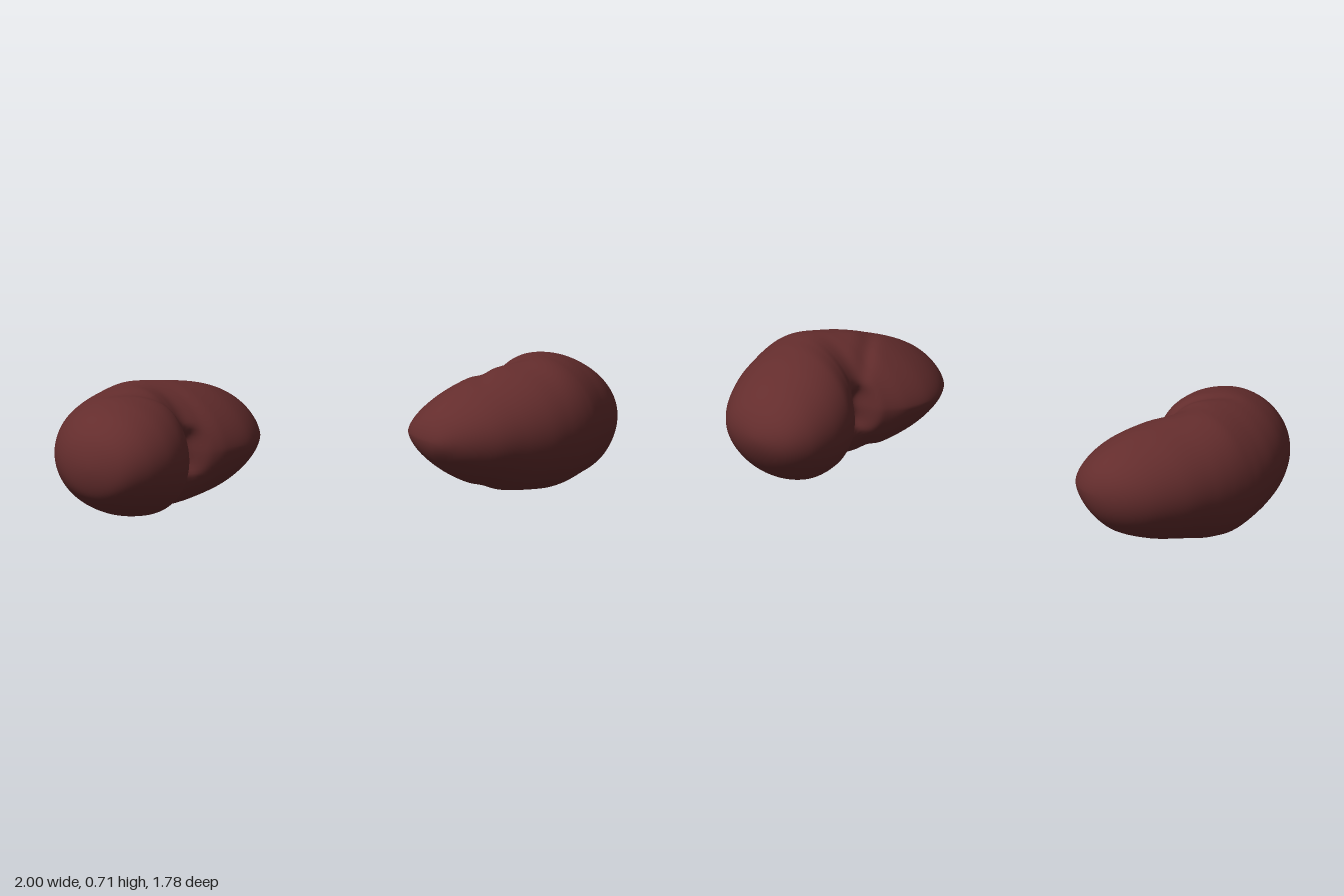
import * as THREE from 'three';
import { mergeVertices } from 'three/addons/utils/BufferGeometryUtils.js';

// Cross-sections along z: [z, outer |x|, inner |x|, top y, bottom y, roundness of the inner side]
const RIGHT_ROWS = [
  [-0.15, 0.62, 0.62, 0.30, 0.30, 1.7],
  [-0.12, 0.74, 0.51, 0.39, 0.20, 1.65],
  [-0.04, 0.84, 0.42, 0.455, 0.115, 1.6],
  [0.09, 0.92, 0.37, 0.505, 0.055, 1.6],
  [0.22, 0.965, 0.395, 0.53, 0.025, 1.7],
  [0.30, 0.985, 0.45, 0.54, 0.01, 1.8],
  [0.36, 0.995, 0.478, 0.545, 0.005, 1.9],
  [0.41, 1.0, 0.46, 0.545, 0.0, 2],
  [0.47, 1.0, 0.405, 0.545, 0.005, 2],
  [0.56, 0.985, 0.365, 0.54, 0.025, 2],
  [0.67, 0.94, 0.355, 0.525, 0.055, 2],
  [0.78, 0.86, 0.39, 0.485, 0.105, 2],
  [0.86, 0.75, 0.47, 0.405, 0.175, 2],
  [0.89, 0.61, 0.61, 0.29, 0.29, 2],
];
const LEFT_ROWS = [
  [-0.89, 0.60, 0.60, 0.43, 0.43, 2],
  [-0.855, 0.76, 0.465, 0.525, 0.33, 2],
  [-0.77, 0.865, 0.39, 0.605, 0.235, 2],
  [-0.65, 0.94, 0.365, 0.665, 0.175, 2],
  [-0.54, 0.975, 0.38, 0.695, 0.165, 2],
  [-0.46, 0.995, 0.425, 0.703, 0.165, 1.95],
  [-0.41, 0.998, 0.458, 0.705, 0.165, 1.85],
  [-0.36, 0.995, 0.46, 0.702, 0.165, 1.75],
  [-0.30, 0.985, 0.415, 0.695, 0.168, 1.65],
  [-0.21, 0.96, 0.36, 0.68, 0.178, 1.55],
  [-0.10, 0.905, 0.34, 0.645, 0.215, 1.5],
  [0.01, 0.83, 0.375, 0.595, 0.27, 1.5],
  [0.10, 0.72, 0.46, 0.525, 0.345, 1.6],
  [0.14, 0.60, 0.60, 0.43, 0.43, 1.7],
];

// Smooth interpolation of the rows; ends are mirrored so the tips close round.
function sampleRow(rows, t) {
  const swap = (r) => [r[0], r[2], r[1], r[4], r[3], r[5]];
  const n = rows.length;
  const i = Math.min(Math.floor(t), n - 2);
  const f = t - i;
  const p0 = i > 0 ? rows[i - 1] : swap(rows[1]);
  const p3 = i + 2 < n ? rows[i + 2] : swap(rows[n - 2]);
  return rows[i].map((b, k) => {
    const a = p0[k], c = rows[i + 1][k], d = p3[k];
    return b + 0.5 * f * (c - a + f * (2 * a - 5 * b + 4 * c - d + f * (3 * (b - c) + d - a)));
  });
}

// Depth (0..1) of a crease that fades from point a to point b in the (|x|, z) plane
function crease(u, z, [au, az], [bu, bz], width) {
  const du = bu - au, dz = bz - az, len2 = du * du + dz * dz;
  const t = ((u - au) * du + (z - az) * dz) / len2;
  if (t > 1) return 0;
  const s = Math.max(t, 0);
  const d = Math.hypot(u - au - s * du, z - az - s * dz);
  return Math.exp(-((d / width) ** 2)) * (1 - s) ** 0.8;
}

function beanGeometry(rows, side, pitZ, creaseStart, creaseEnd) {
  const rings = 130, sides = 96, positions = [], index = [];
  for (let r = 0; r <= rings; r++) {
    const [z, outer, inner, top, bottom, round] = sampleRow(rows, (r / rings) * (rows.length - 1));
    const midU = (outer + inner) / 2, midY = (top + bottom) / 2;
    const halfU = (outer - inner) / 2, halfY = (top - bottom) / 2;
    for (let k = 0; k < sides; k++) {
      const a = (k / sides) * Math.PI * 2, c = Math.cos(a), s = Math.sin(a);
      const e = c < 0 ? 2 / round : 1;
      let u = midU + halfU * Math.sign(c) * Math.abs(c) ** e;
      let y = midY + halfY * Math.sign(s) * Math.abs(s) ** e;
      // crease running from the notch over the top and underside
      if (r > 0 && r < rings) {
        y -= 0.022 * s * crease(u, z, creaseStart, creaseEnd, 0.035);
      }
      // small pit in the notch
      if (c < 0) {
        u += 0.06 * Math.exp(-(((z - pitZ) / 0.06) ** 4) - ((y - midY) / 0.085) ** 4);
      }
      positions.push(side * u, y, z);
    }
  }
  for (let r = 0; r < rings; r++) {
    for (let k = 0; k < sides; k++) {
      const a = r * sides + k, b = r * sides + ((k + 1) % sides);
      const c = a + sides, d = b + sides;
      if (side > 0) index.push(a, b, c, b, d, c);
      else index.push(a, c, b, b, c, d);
    }
  }
  let geometry = new THREE.BufferGeometry();
  geometry.setAttribute('position', new THREE.Float32BufferAttribute(positions, 3));
  geometry.setIndex(index);
  geometry = mergeVertices(geometry, 1e-5);
  geometry.computeVertexNormals();
  return geometry;
}

export function createModel() {
  const group = new THREE.Group();
  group.name = 'kidneyBeans';
  const beanRed = new THREE.MeshStandardMaterial({ color: 0x642d2d });
  beanRed.name = 'beanRed';

  const rightBean = new THREE.Mesh(
    beanGeometry(RIGHT_ROWS, -1, 0.36, [0.5, 0.38], [0.74, 0.62]), beanRed);
  rightBean.name = 'rightBean';
  const leftBean = new THREE.Mesh(
    beanGeometry(LEFT_ROWS, 1, -0.385, [0.48, -0.36], [0.68, -0.08]), beanRed);
  leftBean.name = 'leftBean';

  group.add(rightBean, leftBean);
  return group;
}
